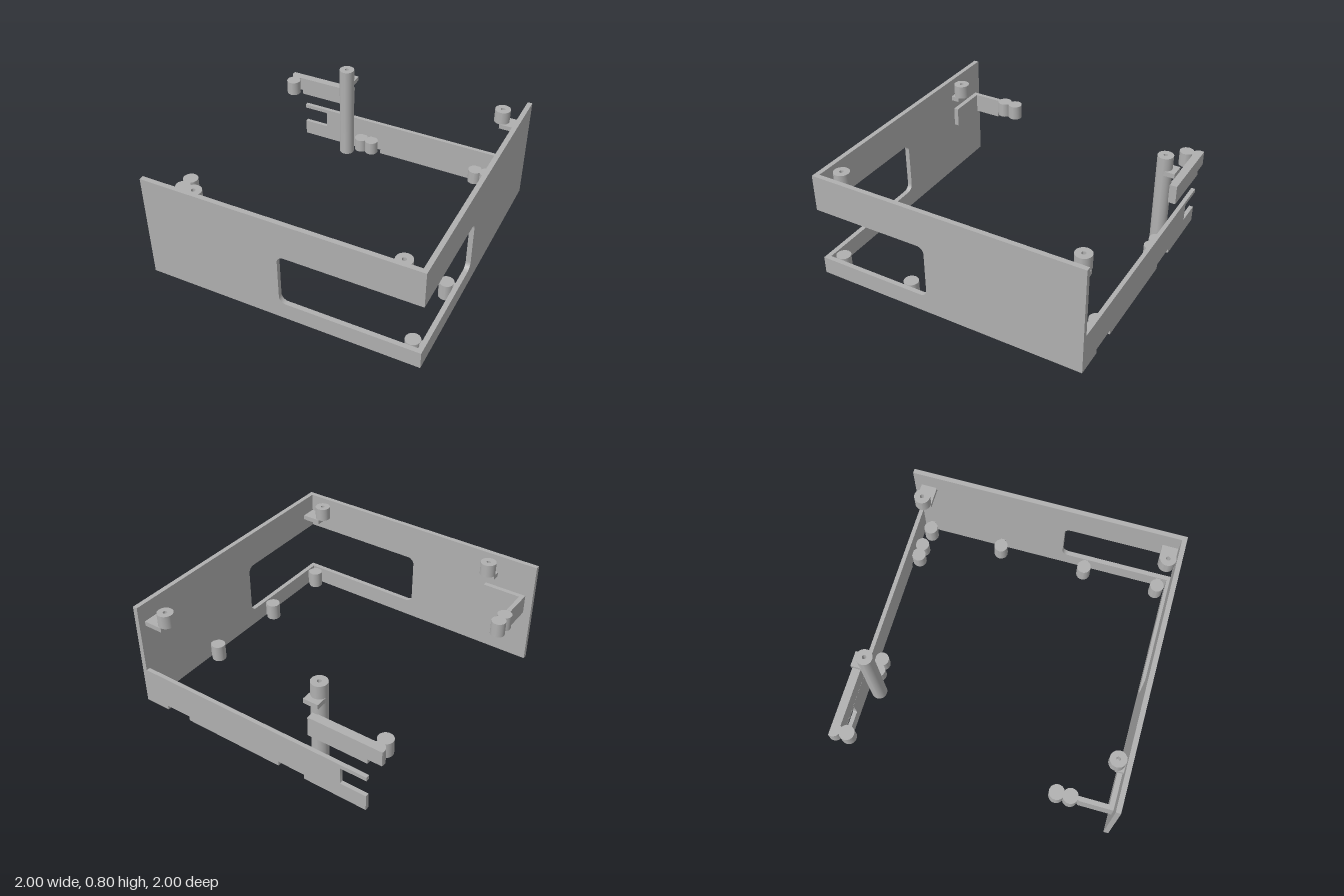
import * as THREE from 'three';
import { toCreasedNormals } from 'three/addons/utils/BufferGeometryUtils.js';

const T = 0.035; // wall thickness

export function createModel() {
  const model = new THREE.Group();
  const grey = new THREE.MeshStandardMaterial({ color: 0xb0b0b0 });
  grey.name = 'plainGrey';

  const add = (name, geometry) => {
    const mesh = new THREE.Mesh(geometry, grey);
    mesh.name = name;
    model.add(mesh);
    return mesh;
  };

  // Box given by its lower and upper corners
  const box = (name, x0, x1, y0, y1, z0, z1) => {
    const g = new THREE.BoxGeometry(x1 - x0, y1 - y0, z1 - z0);
    g.translate((x0 + x1) / 2, (y0 + y1) / 2, (z0 + z1) / 2);
    return add(name, g);
  };

  // Round post; hole > 0 sinks a blind hole in the top, hole < 0 in the underside
  const post = (name, x, z, y0, y1, r, hole = 0) => {
    const h = Math.abs(hole);
    let pts = [[0, y0], [r, y0], [r, y1], [0, y1]];
    if (hole > 0) pts = [[0, y0], [r, y0], [r, y1], [h, y1], [h, y1 - 0.07], [0, y1 - 0.07]];
    if (hole < 0) pts = [[0, y0 + 0.05], [h, y0 + 0.05], [h, y0], [r, y0], [r, y1], [0, y1]];
    const lathe = new THREE.LatheGeometry(pts.map(p => new THREE.Vector2(...p)), 40);
    add(name, toCreasedNormals(lathe, 0.6)).position.set(x, 0, z);
  };

  // Wall with a slot open at its far end and optional shallow notches along the bottom
  const wall = (u0, u1, h, slot, ya, yb, r, thick, notches = []) => {
    const s = new THREE.Shape();
    s.moveTo(u0, 0);
    for (const [a, b] of notches) {
      s.lineTo(a, 0); s.lineTo(a, 0.035); s.lineTo(b, 0.035); s.lineTo(b, 0);
    }
    s.lineTo(u1, 0);
    s.lineTo(u1, ya);
    s.lineTo(slot + r, ya);
    s.absarc(slot + r, ya + r, r, -Math.PI / 2, -Math.PI, true);
    s.absarc(slot + r, yb - r, r, Math.PI, Math.PI / 2, true);
    s.lineTo(u1, yb);
    s.lineTo(u1, h);
    s.lineTo(u0, h);
    s.closePath();
    const g = new THREE.ExtrudeGeometry(s, { depth: thick, bevelEnabled: false, curveSegments: 10 });
    return toCreasedNormals(g, 0.6);
  };

  // Walls: front and side share a window that wraps the corner, the back is low
  add('frontWall', wall(-1, 1, 0.8, 0, 0.13, 0.53, 0.05, T).translate(0, 0, 1 - T));
  add('sideWall', wall(-1, 1 - T, 0.8, 0.14, 0.13, 0.53, 0.05, T)
    .rotateY(-Math.PI / 2).translate(1, 0, 0));
  add('backWall', wall(T - 1, 0.865, 0.28, 0.67, 0.12, 0.25, 0.004, 0.03, [[-0.8, -0.6], [0.18, 0.39]])
    .rotateY(Math.PI).translate(0, 0, -0.97));

  // Screw posts on small tabs under the upper rim
  const tabLow = 0.63, tabTop = 0.665, postTop = 0.763;
  for (const z of [-0.89, 0.905]) {
    post('sideScrewPost', 0.82, z, tabTop, postTop, 0.057, 0.015);
    box('sideTab', 0.82, 1 - T, tabLow, tabTop, z - 0.058, z + 0.058);
  }
  post('frontScrewPost', -0.655, 0.905, tabTop, postTop, 0.057, 0.015);
  box('frontTab', -0.71, -0.6, tabLow, tabTop, 0.905, 1 - T);
  post('tallScrewPost', -0.445, -0.89, 0, postTop, 0.057, 0.015);
  box('tallPostTab', -0.5, -0.39, tabLow, tabTop, -0.985, -0.89);

  // Round feet along the side wall, each with a narrow neck
  for (const z of [-0.905, -0.335, 0.33, 0.905]) {
    post('sideFoot', 0.905, z, 0, 0.125, 0.052, -0.025);
    box('footNeck', 0.95, 1 - T, 0, 0.12, z - 0.018, z + 0.018);
  }

  // Paired sockets above the notches in the back wall
  for (const x of [-0.33, -0.24, 0.65, 0.742]) {
    post('backSocket', x, -0.922, 0.035, 0.14, 0.052, -0.025);
  }

  // L-shaped bracket behind the front wall, ending in two sockets
  const low = 0.4, mid = 0.435, top = 0.545;
  box('frontBracketBase', -0.943, -0.625, low, top, 0.93, 1 - T);
  box('frontBracketArm', -0.943, -0.91, low, top, 0.73, 0.93);
  box('frontBracketLink', -0.943, -0.91, mid, top - 0.001, 0.68, 0.73);
  for (const z of [0.578, 0.672]) post('frontBracketSocket', -0.925, z, mid, top, 0.053, -0.025);

  // Straight bracket over the back wall, ending in a socket and a flat-backed socket
  box('backBracketArm', -0.87, -0.43, low, top, -1, -0.94);
  post('backBracketSocket', -0.922, -0.885, mid, top, 0.053, -0.025);
  const a = Math.asin(0.02 / 0.053);
  const cut = new THREE.Shape();
  cut.absarc(-0.922, 0.98, 0.053, Math.PI - a, 2 * Math.PI + a, false);
  cut.closePath();
  const cutGeo = new THREE.ExtrudeGeometry(cut, { depth: top - mid, bevelEnabled: false, curveSegments: 30 });
  cutGeo.rotateX(-Math.PI / 2).translate(0, mid, 0);
  add('backBracketCutSocket', toCreasedNormals(cutGeo, 0.6));
  box('backBracketLink', -0.9, -0.87, mid, top, -1, -0.94);

  return model;
}
